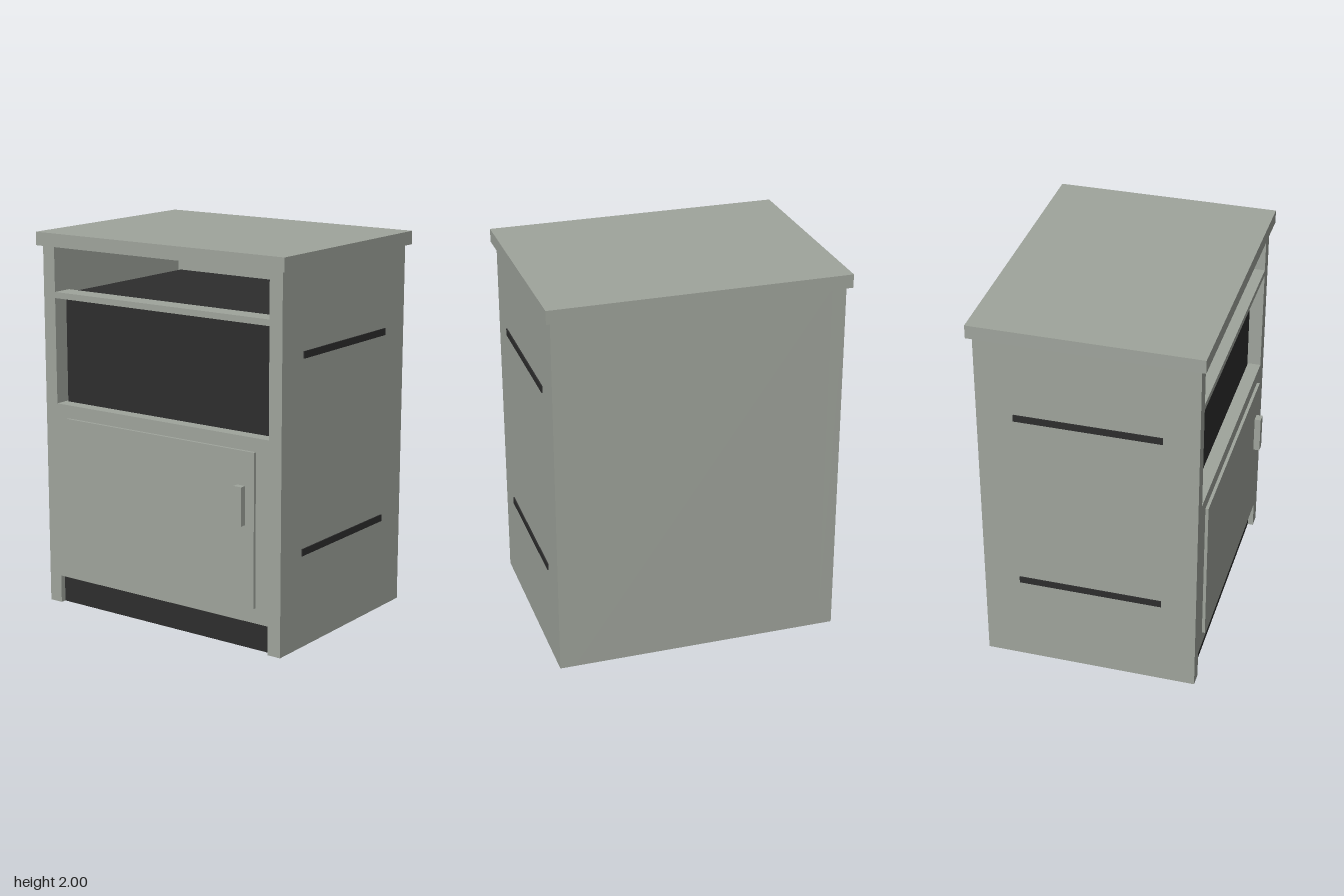
import * as THREE from 'three';

export function createModel() {
  const model = new THREE.Group();
  model.name = 'cabinet';

  const grey = new THREE.MeshStandardMaterial({ color: 0x9fa49c });
  grey.name = 'grey paint';
  const black = new THREE.MeshStandardMaterial({ color: 0x2d2d2d });
  black.name = 'black';

  // Box given by its limits on each axis
  function box(name, material, [x0, x1], [y0, y1], [z0, z1]) {
    const mesh = new THREE.Mesh(new THREE.BoxGeometry(x1 - x0, y1 - y0, z1 - z0), material);
    mesh.position.set((x0 + x1) / 2, (y0 + y1) / 2, (z0 + z1) / 2);
    mesh.name = name;
    model.add(mesh);
  }

  const inner = [-0.675, 0.675];
  const front = 0.55, back = -0.575, backInner = -0.5;

  // Carcass: top slab, back and the closed cupboard block
  box('top', grey, [-0.775, 0.775], [1.93, 2], [-0.6, 0.575]);
  box('backPanel', grey, inner, [0, 1.93], [back, backInner]);
  box('cupboard', grey, inner, [0.15, 1.1], [backInner, front]);

  // Side panels with a long slot at two heights
  for (const side of [1, -1]) {
    const span = (a, b) => [side * a, side * b].sort((p, q) => p - q);
    const label = side > 0 ? 'left' : 'right';
    box(label + 'SidePanel', grey, span(0.675, 0.75), [0, 1.93], [back, front]);
    for (const y of [0.5, 1.5]) {
      box(label + 'Slot', black, span(0.748, 0.756), [y - 0.018, y + 0.018], [-0.385, 0.368]);
    }
  }

  // Recessed plinth, dark bay and the rail across its upper edge
  box('plinth', black, inner, [0, 0.15], [backInner, 0.52]);
  box('bay', black, [-0.66, 0.66], [1.1, 1.68], [backInner, 0.48]);
  box('rail', grey, inner, [1.66, 1.692], [0.44, front]);

  // Door and handle
  box('door', grey, [-0.6, 0.6], [0.23, 1.03], [front, 0.566]);
  box('handle', grey, [0.5, 0.548], [0.655, 0.855], [0.566, 0.6]);

  return model;
}
